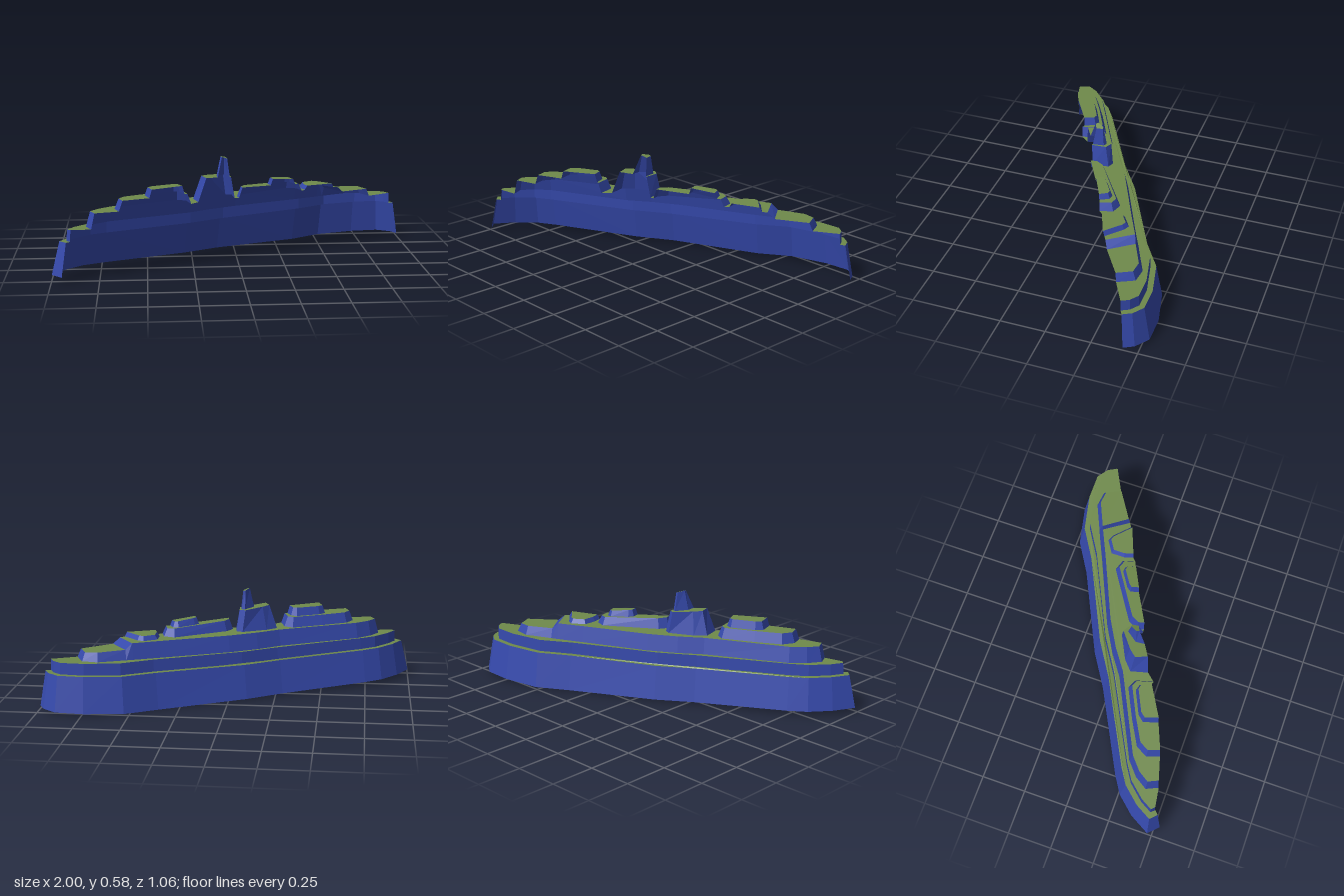
import * as THREE from 'three';

const rock = new THREE.MeshStandardMaterial({ color: 0x3549ac, flatShading: true, side: THREE.DoubleSide });
const grass = new THREE.MeshStandardMaterial({ color: 0x6f8a4b, flatShading: true, side: THREE.DoubleSide });

// Path of [x, z] pairs, left to right round the back, lifted to a height (number or rule of x)
const heightAt = (y, x) => (typeof y === 'function' ? y(x) : y);
const path = (pairs, y) => pairs.map(([x, z]) => new THREE.Vector3(x, heightAt(y, x), z));

// Same path moved inwards by d and set to a new height
function inset(points, d, y) {
  const normals = points.slice(1).map((p, i) => {
    const q = points[i];
    return new THREE.Vector2(q.z - p.z, p.x - q.x).normalize();
  });
  return points.map((p, i) => {
    const a = normals[Math.max(i - 1, 0)], b = normals[Math.min(i, normals.length - 1)];
    const m = a.clone().add(b).normalize();
    m.multiplyScalar(d / Math.max(m.dot(a), 0.6));
    const x = p.x + m.x;
    return new THREE.Vector3(x, heightAt(y, x), p.z + m.y);
  });
}

function meshOf(points, index, material, name) {
  const geometry = new THREE.BufferGeometry().setFromPoints(points);
  geometry.setIndex(index);
  geometry.computeVertexNormals();
  const mesh = new THREE.Mesh(geometry, material);
  mesh.name = name;
  return mesh;
}

// Cliff strip between a lower and an upper path
function wall(low, high, name) {
  const n = low.length, index = [];
  for (let i = 0; i < n - 1; i++) index.push(i, n + i, i + 1, i + 1, n + i, n + i + 1);
  return meshOf([...low, ...high], index, rock, name);
}

// Grass inside the outer path, cut away round the feet of the tiers standing on it
function cap(outer, feet, name) {
  const points = [...outer];
  for (const foot of [...feet].reverse()) points.push(...[...foot].reverse());
  const flat = points.map((p) => new THREE.Vector2(p.x, -p.z));
  const index = [];
  for (const [a, b, c] of THREE.ShapeUtils.triangulateShape(flat, [])) {
    const up = flat[b].clone().sub(flat[a]).cross(flat[c].clone().sub(flat[a])) > 0;
    index.push(...(up ? [a, b, c] : [a, c, b]));
  }
  return meshOf(points, index, grass, name);
}

// A mound with cliffs, a grassy top and optional smaller block on it
function mound(name, low, high, upperLow, upperHigh) {
  const group = new THREE.Group();
  group.name = name;
  group.add(wall(low, high, name + 'Cliff'), cap(high, upperLow ? [upperLow] : [], name + 'Top'));
  if (upperLow) {
    group.add(wall(upperLow, upperHigh, name + 'UpperCliff'), cap(upperHigh, [], name + 'UpperTop'));
  }
  return group;
}

export function createModel() {
  const model = new THREE.Group();
  model.name = 'terracedRidge';

  // Lower cliff, flaring out at the foot
  const foot = path([
    [-0.945, 0.53], [-1, 0.475], [-0.935, 0.36], [-0.845, 0.26], [-0.75, 0.2], [-0.29, -0.04], [-0.1, -0.16],
    [0.36, -0.38], [0.53, -0.485], [0.74, -0.53], [0.895, -0.53], [0.97, -0.475], [1, -0.42],
  ], (x) => (x < 0.45 ? 0.005 + 0.025 * ((0.45 - x) / 1.45) ** 2 : 0.03 * (x - 0.45)));
  foot[7].y = 0;
  const shelf = (x) => 0.195 + 0.016 * x * x;
  const lowerTop = inset(foot, 0.035, shelf);

  // Narrow middle cliff
  const middleLow = inset(lowerTop, 0.03, shelf);
  const middleTop = inset(middleLow, 0.003, (x) => 0.262 + 0.01 * x * x);

  // Upper cliff; its top drops to a lower ledge at the right-hand end
  const upperLow = path([
    [-0.79, 0.465], [-0.82, 0.4], [-0.775, 0.33], [-0.7, 0.265], [-0.27, 0.055], [-0.15, -0.03], [0, -0.115],
    [0.36, -0.275], [0.5, -0.34], [0.535, -0.355], [0.68, -0.42], [0.765, -0.41], [0.81, -0.32],
  ], (x) => 0.262 + 0.01 * x * x);
  const upperTop = inset(upperLow, 0.02, (x) => (x < 0.525 ? 0.352 : 0.33 - 0.022 * x));
  const plateau = [...upperTop.slice(0, 9), new THREE.Vector3(0.6, 0.35, -0.19)];
  const ledge = [new THREE.Vector3(0.635, 0.318, -0.21), ...upperTop.slice(9)];

  // Left mound with block
  const leftLow = path([[-0.645, 0.42], [-0.67, 0.35], [-0.635, 0.285], [-0.5, 0.21], [-0.335, 0.13],
    [-0.285, 0.155], [-0.26, 0.25]], 0.352);
  const leftTop = inset(leftLow, 0.02, 0.408);
  const leftBlock = path([[-0.485, 0.355], [-0.51, 0.275], [-0.48, 0.24], [-0.355, 0.18], [-0.32, 0.19],
    [-0.295, 0.25]], 0.408);

  // Central tower with spire
  const towerLow = path([[-0.22, 0.205], [-0.245, 0.11], [-0.19, 0.06], [-0.06, -0.005], [-0.025, 0.01],
    [-0.015, 0.1]], 0.352);
  const towerTop = path([[-0.175, 0.185], [-0.2, 0.12], [-0.165, 0.08], [-0.075, 0.01], [-0.04, 0.03],
    [-0.035, 0.11]], (x) => 0.467 - 0.08 * x);
  const spireLow = path([[-0.11, 0.145], [-0.115, 0.095], [-0.07, 0.035], [-0.05, 0.045], [-0.042, 0.108]],
    (x) => 0.467 - 0.08 * x);
  const spireTop = path([[-0.085, 0.105], [-0.092, 0.09], [-0.072, 0.055], [-0.06, 0.055], [-0.055, 0.09]],
    (x) => 0.55 - 0.38 * x);

  // Right mound with block
  const rightSlope = (x) => 0.41 - 0.045 * x;
  const rightLow = path([[0.01, 0.1], [0, 0.06], [0.03, 0.005], [0.3, -0.17], [0.36, -0.15], [0.38, -0.08]], 0.352);
  const rightTop = inset(rightLow, 0.02, rightSlope);
  const rightBlock = path([[0.195, 0.005], [0.18, -0.04], [0.2, -0.065], [0.285, -0.12], [0.315, -0.115],
    [0.34, -0.065]], rightSlope);

  // Low end mound
  const endLow = path([[0.4, -0.1], [0.385, -0.15], [0.385, -0.225], [0.455, -0.27], [0.49, -0.255],
    [0.575, -0.175]], 0.352);

  model.add(
    wall(foot, lowerTop, 'lowerCliff'),
    cap(lowerTop, [middleLow], 'lowerTerrace'),
    wall(middleLow, middleTop, 'middleCliff'),
    cap(middleTop, [upperLow], 'middleTerrace'),
    wall(upperLow, upperTop, 'upperCliff'),
    cap(plateau, [leftLow, towerLow, rightLow, endLow], 'plateau'),
    cap(ledge, [], 'endLedge'),
    wall([ledge[1], ledge[0]], plateau.slice(-2), 'ledgeStep'),
    mound('leftMound', leftLow, leftTop, leftBlock, inset(leftBlock, 0.014, 0.453)),
    mound('tower', towerLow, towerTop, spireLow, spireTop),
    mound('rightMound', rightLow, rightTop, rightBlock, inset(rightBlock, 0.013, (x) => 0.46 - 0.11 * x)),
    mound('endMound', endLow, inset(endLow, 0.015, 0.376)),
  );
  return model;
}
